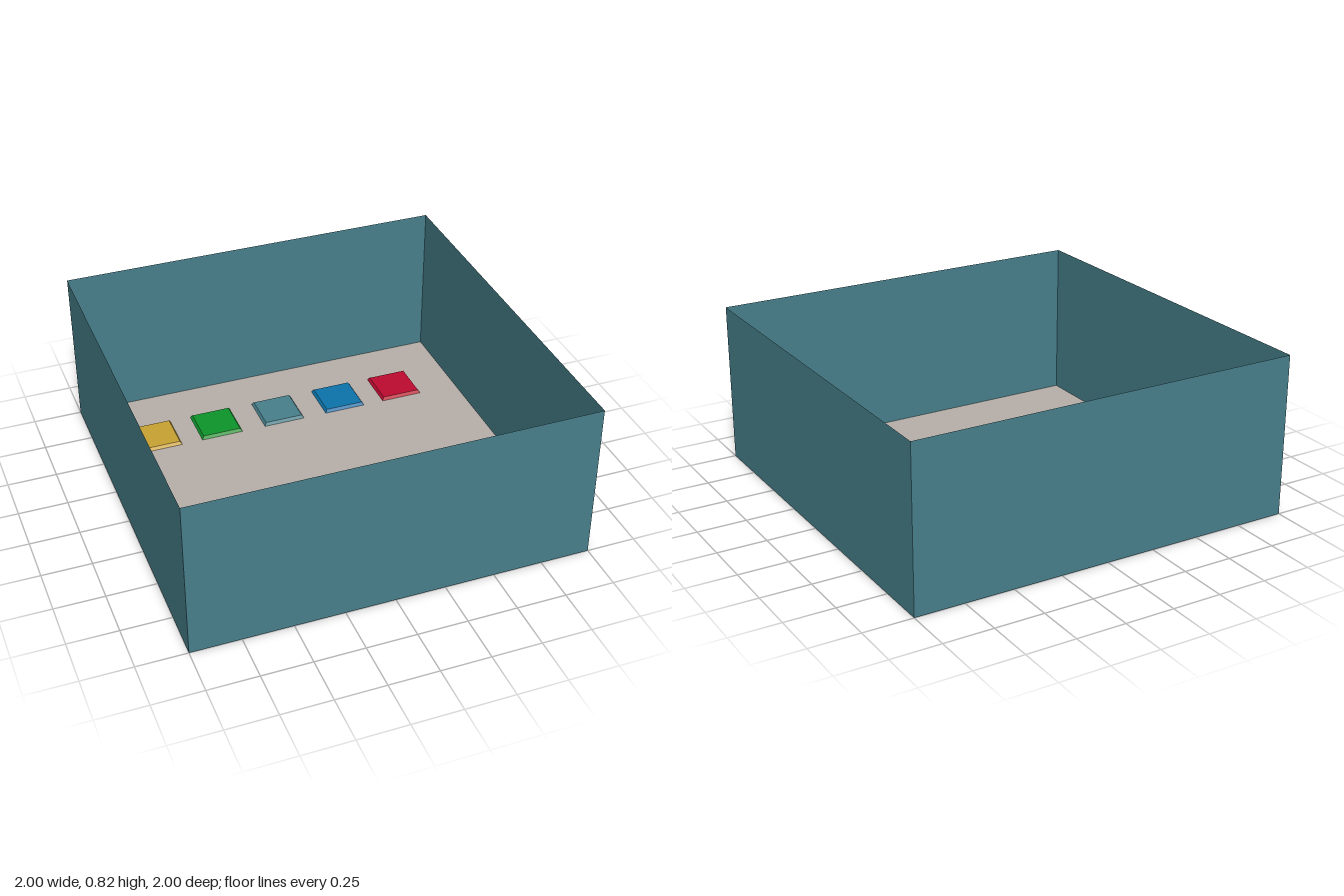
import * as THREE from 'three';

const SIZE = 2, HEIGHT = 0.82;

const material = (name, color, side = THREE.FrontSide) => {
  const m = new THREE.MeshStandardMaterial({ color, side });
  m.name = name;
  return m;
};

// Square pad whose top is slightly smaller than its base
function padGeometry(size, height, inset) {
  const geometry = new THREE.BoxGeometry(size, height, size).toNonIndexed();
  const p = geometry.attributes.position;
  const k = (size - 2 * inset) / size;
  for (let i = 0; i < p.count; i++) {
    if (p.getY(i) > 0) p.setXYZ(i, p.getX(i) * k, p.getY(i), p.getZ(i) * k);
  }
  geometry.translate(0, height / 2, 0);
  geometry.computeVertexNormals();
  return geometry;
}

export function createModel() {
  const model = new THREE.Group();
  model.name = 'openTray';

  const teal = material('teal', 0x47808c, THREE.DoubleSide);
  const stone = material('stone', 0xb8b0aa, THREE.DoubleSide);
  const yellow = material('yellow', 0xc9a233);
  const green = material('green', 0x0d952a);
  const blue = material('blue', 0x0d74ab);
  const red = material('red', 0xbe0a30);

  // Floor sheet
  const floor = new THREE.Mesh(new THREE.PlaneGeometry(SIZE, SIZE), stone);
  floor.name = 'floor';
  floor.rotation.x = -Math.PI / 2;
  model.add(floor);

  // Four thin walls, turned around the centre
  const wallGeometry = new THREE.PlaneGeometry(SIZE, HEIGHT).translate(0, HEIGHT / 2, SIZE / 2);
  ['frontWall', 'leftWall', 'backWall', 'rightWall'].forEach((name, i) => {
    const wall = new THREE.Mesh(wallGeometry, teal);
    wall.name = name;
    wall.rotation.y = i * Math.PI / 2;
    model.add(wall);
  });

  // Row of coloured pads along the back
  const pad = padGeometry(0.222, 0.016, 0.01);
  [
    ['yellowPad', yellow, -0.683],
    ['greenPad', green, -0.35],
    ['tealPad', teal, -0.002],
    ['bluePad', blue, 0.345],
    ['redPad', red, 0.677],
  ].forEach(([name, mat, x]) => {
    const mesh = new THREE.Mesh(pad, mat);
    mesh.name = name;
    mesh.position.set(x, 0.001, -0.632);
    model.add(mesh);
  });

  return model;
}
